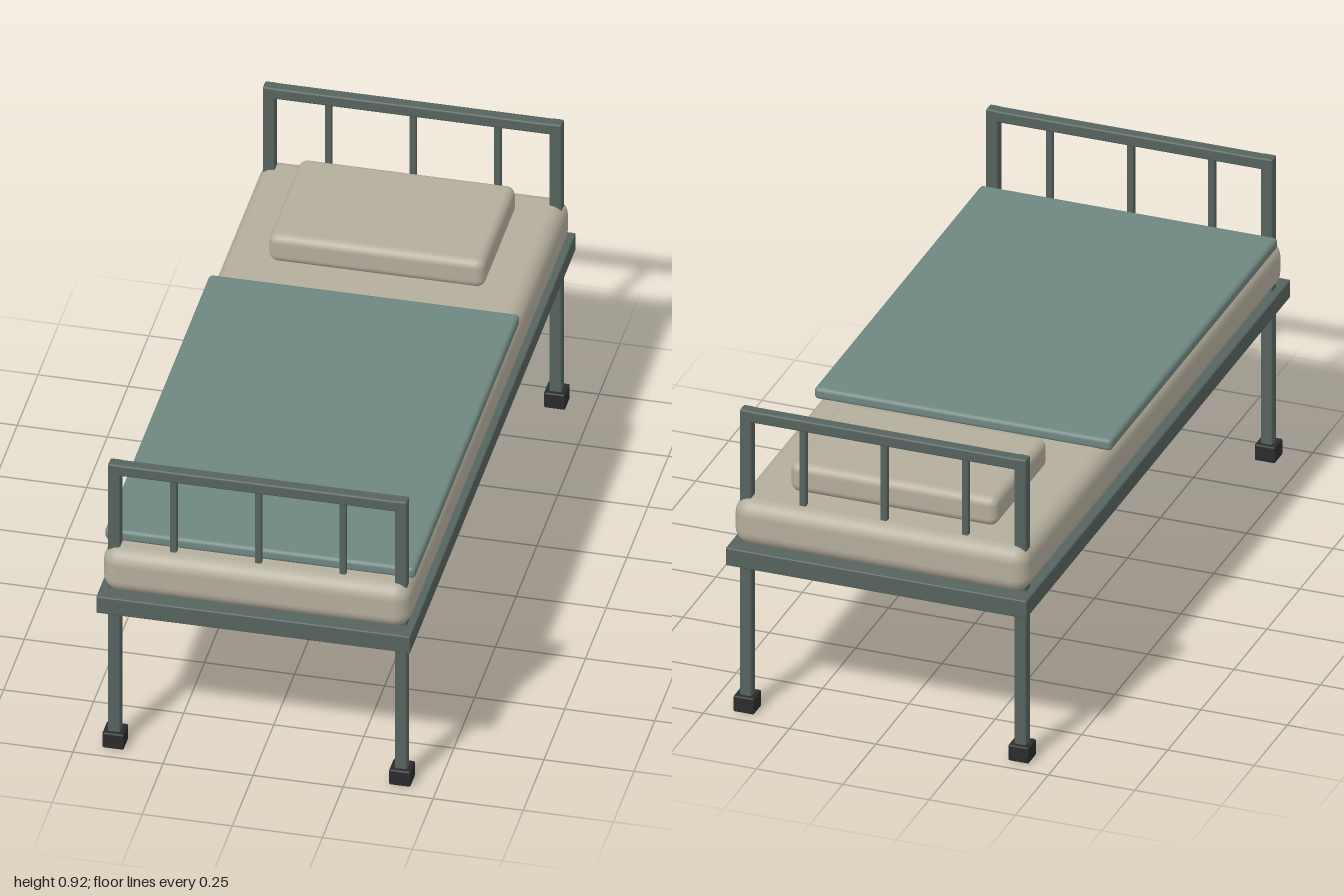
import * as THREE from 'three';
import { RoundedBoxGeometry } from 'three/addons/geometries/RoundedBoxGeometry.js';

const material = (color) => new THREE.MeshStandardMaterial({ color });

export function createModel() {
  const bed = new THREE.Group();
  bed.name = 'bed';

  const metal = material(0x56635f);
  const rubber = material(0x2b2b2b);
  const linen = material(0xb3ad9c);
  const wool = material(0x6f8681);

  // Rounded block centred on x and z, with y as its underside
  function block(parent, name, mat, [w, h, d], [x, y, z], radius, segments = 2) {
    const mesh = new THREE.Mesh(new RoundedBoxGeometry(w, h, d, segments, radius), mat);
    mesh.name = name;
    mesh.position.set(x, y + h / 2, z);
    parent.add(mesh);
    return mesh;
  }

  // Base and bedding
  block(bed, 'frame', metal, [0.872, 0.054, 2], [0, 0.464, 0], 0.004);
  block(bed, 'mattress', linen, [0.854, 0.138, 1.964], [0, 0.517, 0], 0.045, 4);
  block(bed, 'blanket', wool, [0.862, 0.035, 1.265], [0, 0.651, 0.287], 0.012, 3);
  block(bed, 'pillow', linen, [0.6, 0.088, 0.395], [0, 0.652, -0.677], 0.025, 4);

  // Matching head and foot ends
  for (const side of [-1, 1]) {
    const end = new THREE.Group();
    end.name = side < 0 ? 'headEnd' : 'footEnd';
    end.position.z = side * 0.932;
    bed.add(end);

    for (const x of [-0.398, 0.398]) {
      block(end, 'post', metal, [0.034, 0.9, 0.034], [x, 0.02, 0], 0.005);
      block(end, 'foot', rubber, [0.06, 0.049, 0.06], [x, 0, 0], 0.005);
    }
    block(end, 'topRail', metal, [0.826, 0.034, 0.034], [0, 0.885, 0], 0.005);
    for (const x of [-0.235, 0, 0.235]) {
      block(end, 'bar', metal, [0.019, 0.25, 0.019], [x, 0.645, 0], 0.004);
    }
  }

  return bed;
}
